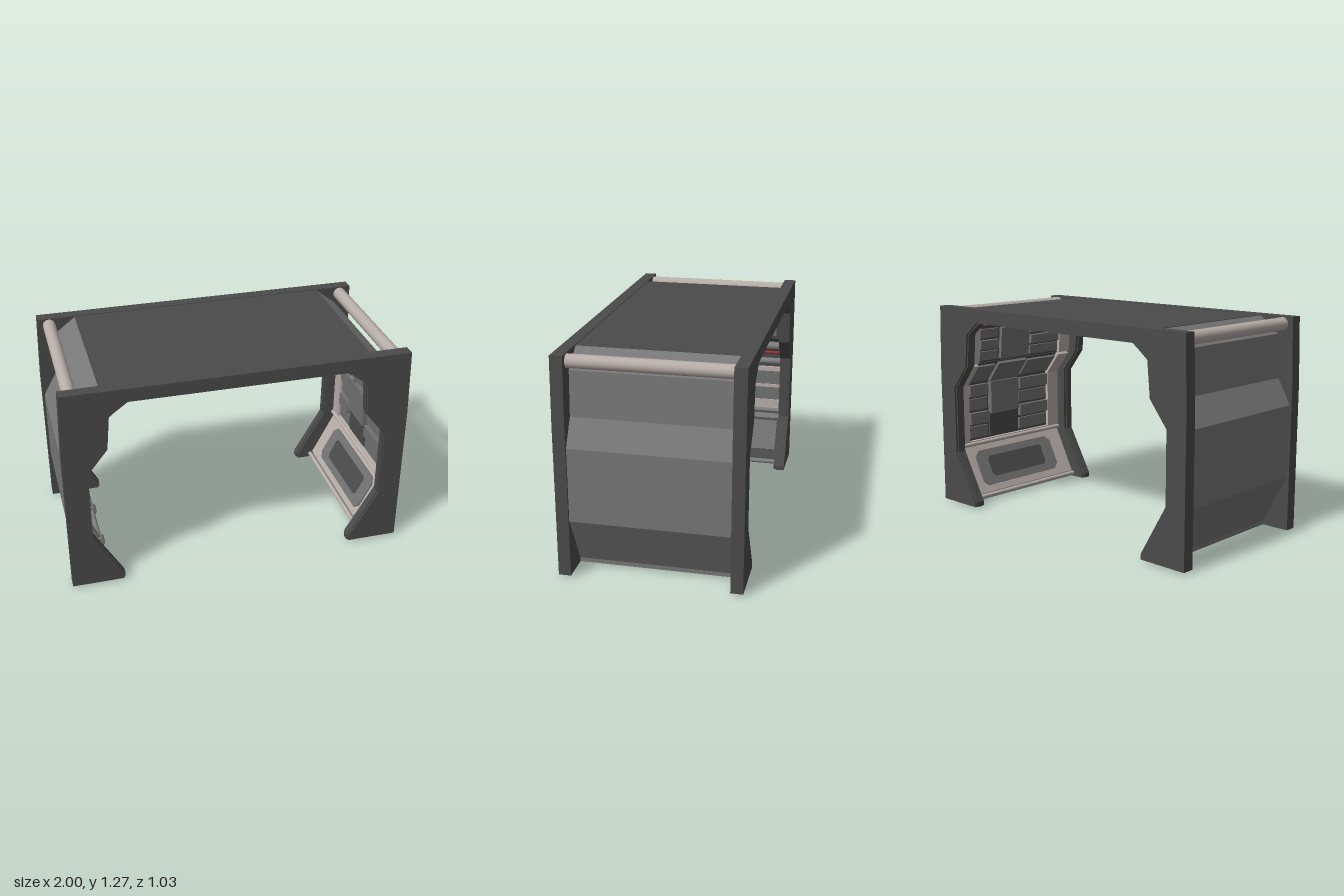
import * as THREE from 'three';

const mat = (name, color) => Object.assign(new THREE.MeshStandardMaterial({ color }), { name });

export function createModel() {
  const root = new THREE.Group();
  root.name = 'corridorSection';
  const M = {
    frame: mat('frame charcoal', 0x4b4b4b),
    shell: mat('shell grey', 0x777777),
    panel: mat('panel grey', 0x727272),
    dark: mat('recess dark grey', 0x4b4b4b),
    warm: mat('warm pale metal', 0xb8aea9),
    steel: mat('steel grey', 0x7c7c7c),
    red: mat('red pipe', 0x8c3434),
  };
  const add = (name, geo, material, parent = root) => {
    const m = new THREE.Mesh(geo, material);
    m.name = name;
    parent.add(m);
    return m;
  };
  const polygon = pts => new THREE.Shape(pts.map(p => new THREE.Vector2(p[0], p[1])));
  const mirror = pts => pts.map(([x, y]) => [-x, y]);
  const prism = (name, pts, z0, z1, material) => {
    const g = new THREE.ExtrudeGeometry(polygon(pts), { depth: z1 - z0, bevelEnabled: false });
    return add(name, g.translate(0, 0, z0), material);
  };

  // End frames: main slab, with a slightly wider opening on the two faces
  const opening = [[0.69, 0.01], [0.69, 0.04], [0.862, 0.34], [0.862, 0.757],
    [0.747, 0.903], [0.728, 1.105], [0.623, 1.182]];
  const outerEdge = [[0.988, 1.268], [1, 0.88], [1, 0.01]];
  const framePoints = d => {
    const inner = opening.map(([x, y], i) => [x + d, i === 6 ? y + d : y]);
    const half = [...inner.slice().reverse(), ...outerEdge.slice().reverse()];
    return [...half, ...mirror(half).reverse()];
  };
  for (const s of [-1, 1]) {
    const slab = (name, a, b, d) =>
      prism(name, framePoints(d), Math.min(s * a, s * b), Math.max(s * a, s * b), M.frame);
    slab('endFrame', 0.462, 0.503, 0);
    slab('frameOuterFace', 0.503, 0.515, 0.008);
    slab('frameInnerFace', 0.445, 0.462, 0.008);
  }

  // Roof and ceiling
  const box = (name, w, h, d, x, y, z, material) =>
    add(name, new THREE.BoxGeometry(w, h, d).translate(x, y, z), material);
  box('roof', 1.53, 0.045, 0.9, 0, 1.242, 0, M.frame);
  box('ceilingPanel', 1.4, 0.012, 0.9, 0, 1.213, 0, M.warm);
  box('ceilingInset', 1.2, 0.008, 0.88, 0, 1.205, 0, M.warm);

  // Side wall sections, listed from the foot upward
  const outer = [[0.83, 0.01], [0.83, 0.035], [0.988, 0.335], [0.988, 0.76],
    [0.905, 0.91], [0.892, 1.165], [0.766, 1.262]];
  const liner = [[0.8, 0.01], [0.81, 0.035], [0.965, 0.335], [0.965, 0.755],
    [0.85, 0.9], [0.83, 1.14], [0.75, 1.215]];
  const SEG = { low: 1, mid: 2, ledge: 3, high: 4, cornice: 5 };
  const wall = [...outer, ...liner.slice().reverse()];

  // A board lying on one wall segment, t = 0..1 up the segment
  const board = (name, s, seg, t0, t1, z0, z1, depth, material) => {
    const [ax, ay] = liner[SEG[seg]], [bx, by] = liner[SEG[seg] + 1];
    const dx = bx - ax, dy = by - ay, len = Math.hypot(dx, dy), t = (t0 + t1) / 2;
    const off = depth / 2;
    const m = add(name, new THREE.BoxGeometry(depth, len * (t1 - t0), z1 - z0), material);
    m.position.set(s * (ax + dx * t - dy / len * off), ay + dy * t + dx / len * off, (z0 + z1) / 2);
    m.rotation.z = -s * Math.atan2(dx, dy);
  };
  // A pipe between two points
  const rod = (name, a, b, r, material) => {
    const p = new THREE.Vector3(...a), q = new THREE.Vector3(...b);
    const m = add(name, new THREE.CylinderGeometry(r, r, p.distanceTo(q), 16), material);
    m.position.copy(p).add(q).multiplyScalar(0.5);
    m.quaternion.setFromUnitVectors(new THREE.Vector3(0, 1, 0), q.sub(p).normalize());
  };
  const longPipe = (name, x, y, r, material, z0 = -0.45, z1 = 0.45) =>
    rod(name, [x, y, z0], [x, y, z1], r, material);

  for (const s of [-1, 1]) {
    prism('sideWall', s > 0 ? wall : mirror(wall), -0.45, 0.45, M.shell);
    longPipe('upperOutsidePipe', s * 0.92, 1.225, 0.038, M.warm);
    board('corniceLining', s, 'cornice', 0, 1, -0.45, 0.45, 0.006, M.warm);
  }

  // Pipework wall (-x): lower panels and pipe rack
  board('lowerLining', -1, 'low', 0, 1, -0.45, 0.45, 0.006, M.dark);
  for (const [z0, z1] of [[-0.43, -0.2], [-0.16, 0.13], [0.17, 0.43]])
    board('lowerPanel', -1, 'low', 0.2, 0.8, z0, z1, 0.014, M.panel);
  board('lowerStrip', -1, 'low', 0.85, 0.95, -0.45, 0.45, 0.02, M.steel);
  longPipe('rackTopPipe', -0.93, 0.355, 0.015, M.steel);
  longPipe('rackBottomPipe', -0.785, 0.03, 0.015, M.steel);
  for (const z of [-0.182, 0.148]) {
    const top = [-0.93, 0.355, z], foot = [-0.785, 0.03, z];
    rod('rackBar', top, foot, 0.016, M.steel);
    for (const [x, y] of [top, foot])
      longPipe('rackCollar', x, y, 0.03, M.steel, z - 0.027, z + 0.027);
  }

  // Pipework wall: stepped horizontal boards
  [[0, 0.22, 0.018, 'warm'], [0.22, 0.44, 0.012, 'panel'], [0.44, 0.49, 0.025, 'warm'],
    [0.49, 0.72, 0.018, 'panel'], [0.72, 0.79, 0.028, 'warm'], [0.79, 1, 0.008, 'dark']]
    .forEach(([a, b, d, c]) => board('middleBoard', -1, 'mid', a, b, -0.45, 0.45, d, M[c]));
  board('ledgeLining', -1, 'ledge', 0, 1, -0.45, 0.45, 0.006, M.dark);
  longPipe('middlePipe', -0.925, 0.715, 0.022, M.steel);
  longPipe('middlePipeSleeve', -0.925, 0.715, 0.034, M.warm, 0.02, 0.16);
  longPipe('thinRedPipe', -0.888, 0.787, 0.011, M.red);
  longPipe('ledgePipe', -0.835, 0.85, 0.027, M.steel);

  // Pipework wall: upper panels, vents and pipes
  board('upperLining', -1, 'high', 0, 1, -0.45, 0.45, 0.006, M.dark);
  board('upperPanel', -1, 'high', 0.08, 0.72, 0.0, 0.42, 0.025, M.panel);
  board('upperPanelStep', -1, 'high', 0.15, 0.62, -0.12, -0.02, 0.03, M.panel);
  for (let i = 0; i < 4; i++)
    board('ventSlat', -1, 'high', 0.1 + i * 0.16, 0.21 + i * 0.16, -0.42, -0.15, 0.03, M.panel);
  longPipe('upperPipe', -0.785, 1.115, 0.026, M.steel);
  longPipe('upperPipeSleeve', -0.785, 1.115, 0.035, M.warm, -0.07, 0.03);
  longPipe('redPipe', -0.72, 1.163, 0.026, M.red, -0.43, 0.43);

  // Hatch wall (+x): lower panel with a chamfered recessed hatch
  board('hatchPanel', 1, 'low', 0.02, 1, -0.45, 0.45, 0.015, M.warm);
  const hatch = new THREE.Group();
  hatch.name = 'hatch';
  const [ax, ay] = liner[1], [bx, by] = liner[2];
  const v = new THREE.Vector3(bx - ax, by - ay, 0).normalize();
  const u = new THREE.Vector3(0, 0, 1), n = new THREE.Vector3().crossVectors(u, v);
  hatch.applyMatrix4(new THREE.Matrix4().makeBasis(u, v, n));
  hatch.position.set((ax + bx) / 2, (ay + by) / 2, 0).addScaledVector(n, 0.015);
  root.add(hatch);
  const chamfered = (w, h, c) => [[-w + c, -h], [w - c, -h], [w, -h + c], [w, h - c],
    [w - c, h], [-w + c, h], [-w, h - c], [-w, -h + c]];
  const rim = polygon(chamfered(0.33, 0.118, 0.035));
  rim.holes.push(polygon(chamfered(0.24, 0.07, 0.02)));
  add('hatchRim', new THREE.ExtrudeGeometry(rim, { depth: 0.009, bevelEnabled: false }), M.panel, hatch);
  add('hatchRecess', new THREE.ExtrudeGeometry(polygon(chamfered(0.25, 0.08, 0.02)),
    { depth: 0.003, bevelEnabled: false }), M.dark, hatch);
  longPipe('hatchBottomPipe', 0.785, 0.035, 0.013, M.warm);
  longPipe('hatchTopPipe', 0.935, 0.35, 0.013, M.warm);

  // Hatch wall: equipment bays between warm end posts
  for (const seg of ['mid', 'ledge', 'high']) {
    board('bayBack', 1, seg, 0, 1, -0.45, 0.45, 0.006, M.dark);
    for (const z of [-0.45, 0.35]) board('endPost', 1, seg, 0, 1, z, z + 0.1, 0.03, M.warm);
  }
  board('baySill', 1, 'mid', 0, 0.08, -0.35, 0.35, 0.03, M.warm);

  // A tall cabinet in the middle bay, stacked drawers on both sides of it
  board('cabinet', 1, 'mid', 0.48, 0.98, -0.17, 0.07, 0.04, M.panel);
  board('cabinetBase', 1, 'mid', 0.11, 0.46, -0.17, 0.07, 0.02, M.dark);
  board('cabinetTop', 1, 'ledge', 0.05, 0.95, -0.17, 0.07, 0.025, M.panel);
  board('cabinetUpper', 1, 'high', 0.06, 0.9, -0.17, 0.07, 0.03, M.panel);
  for (const [z0, z1] of [[-0.34, -0.19], [0.09, 0.34]]) {
    for (let i = 0; i < 4; i++)
      board('drawer', 1, 'mid', 0.12 + i * 0.22, 0.3 + i * 0.22, z0, z1, 0.02 + 0.015 * (i % 2), M.panel);
    board('ledgeDrawer', 1, 'ledge', 0.12, 0.88, z0, z1, 0.02, M.panel);
    for (let i = 0; i < 3; i++)
      board('upperDrawer', 1, 'high', 0.06 + i * 0.3, 0.3 + i * 0.3, z0, z1, 0.02 + 0.01 * (i % 2), M.panel);
  }
  return root;
}
